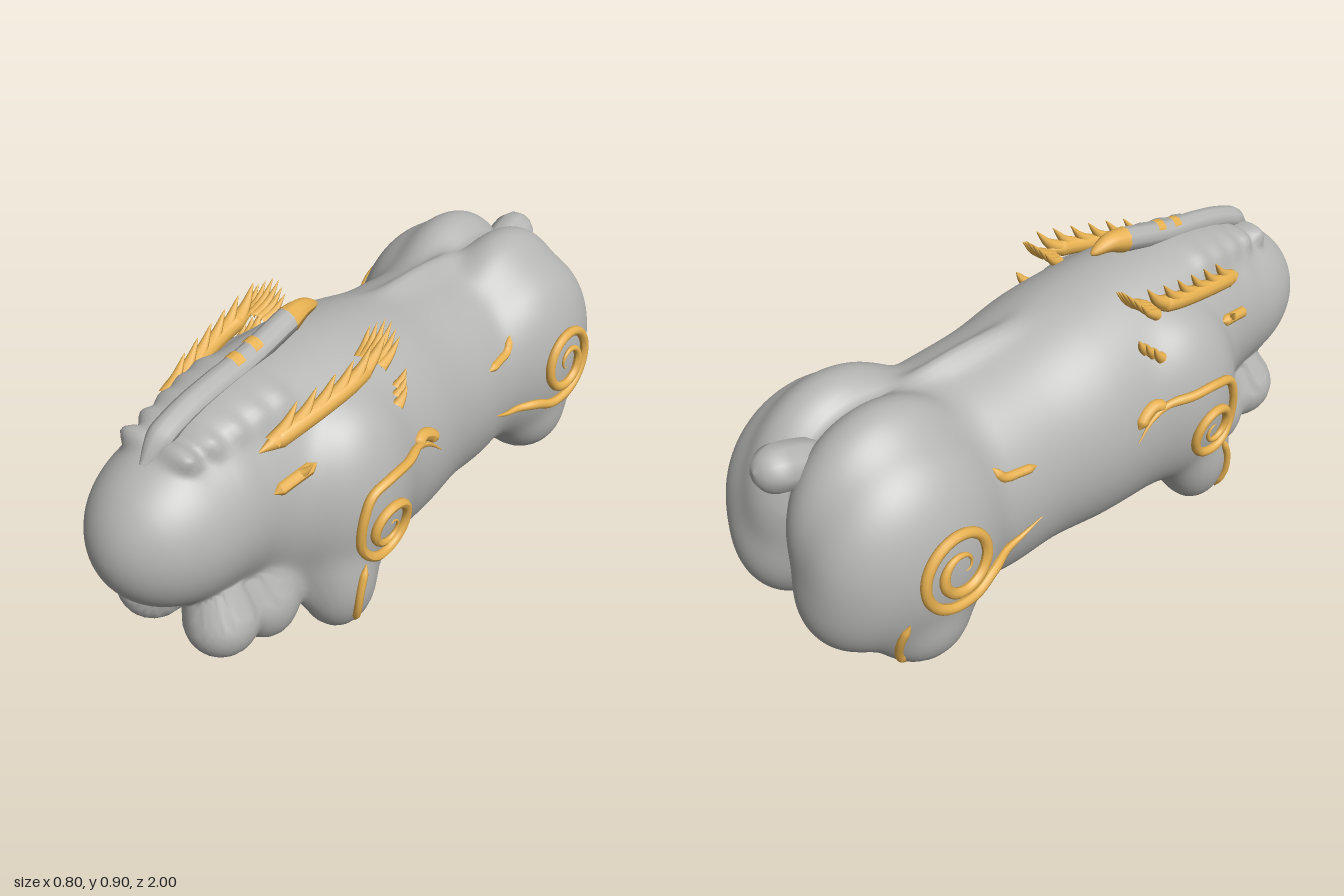
import * as THREE from 'three';

const stone = new THREE.MeshStandardMaterial({ color: 0xb4b4b2 });
stone.name = 'grey stone';
const gold = new THREE.MeshStandardMaterial({ color: 0xe6b050 });
gold.name = 'gold trim';
const V = (x, y, z) => new THREE.Vector3(x, y, z);

// Torso cross-sections: z, half width, bottom, top
const stations = [
  [0.85, 0.1, 0.4, 0.6], [0.7, 0.2, 0.27, 0.75], [0.6, 0.23, 0.2, 0.78], [0.5, 0.26, 0.1, 0.79],
  [0.4, 0.285, 0.04, 0.8], [0.2, 0.325, 0.012, 0.81], [0, 0.337, 0.022, 0.785], [-0.2, 0.316, 0.038, 0.738],
  [-0.4, 0.31, 0.03, 0.715], [-0.6, 0.27, 0.07, 0.7], [-0.8, 0.16, 0.2, 0.58], [-0.88, 0.05, 0.3, 0.45],
];
// Rounded masses blended into the torso: centre, radii (x is mirrored where not zero)
const masses = [
  [0, 0.5, 0.72, 0.218, 0.238, 0.28],         // snout
  [0, 0.715, 0.4, 0.165, 0.1, 0.32],          // crown
  [0, 0.235, 0.57, 0.15, 0.145, 0.15],        // chest
  [0, 0.685, -0.28, 0.036, 0.076, 0.3],       // spine
  [0.19, 0.42, 0.29, 0.184, 0.295, 0.235],    // shoulder
  [0.235, 0.18, 0.38, 0.118, 0.18, 0.115],    // foreleg
  [0.19, 0.395, -0.685, 0.19, 0.31, 0.295],   // haunch
  [0.1, 0.46, -0.68, 0.17, 0.318, 0.29],      // rump
  [0.215, 0.17, -0.69, 0.135, 0.145, 0.145],  // hind leg
  [0.15, 0.3, -0.85, 0.145, 0.17, 0.143],     // buttock
  [0.125, 0.21, 0.735, 0.104, 0.112, 0.105],  // front chin lobe
  [0.132, 0.185, 0.58, 0.108, 0.135, 0.1],    // rear chin lobe
];
// Stepped brow ridges
for (let i = 0; i < 5; i++) masses.push([0.07, 0.768 - i * 0.008, 0.48 + i * 0.076, 0.07 - i * 0.004, 0.024, 0.022]);

const ellipsoid = (x, y, z, a, b, c) => {
  const u = x / a, v = y / b, w = z / c;
  const k0 = Math.sqrt(u * u + v * v + w * w);
  const k1 = Math.sqrt((u / a) ** 2 + (v / b) ** 2 + (w / c) ** 2);
  return k1 < 1e-6 ? -Math.min(a, b, c) : (k0 * (k0 - 1)) / k1;
};

function torso(x, y, z) {
  const last = stations.length - 1;
  const zc = THREE.MathUtils.clamp(z, stations[last][0], stations[0][0]);
  let i = 0;
  while (i < last - 1 && zc < stations[i + 1][0]) i++;
  const at = (n) => stations[THREE.MathUtils.clamp(n, 0, last)];
  const t = (zc - at(i)[0]) / (at(i + 1)[0] - at(i)[0]);
  const [w, lo, hi] = [1, 2, 3].map((k) => {
    const [a, b, c, d] = [at(i - 1)[k], at(i)[k], at(i + 1)[k], at(i + 2)[k]];
    return b + 0.5 * t * (c - a + t * (2 * a - 5 * b + 4 * c - d + t * (3 * (b - c) + d - a)));
  });
  const d = ellipsoid(x, y - (lo + hi) / 2, 0, w, (hi - lo) / 2, 1);
  return Math.max(d, Math.abs(z - zc));
}

// Smooth union of torso and masses, symmetric in x
function field(p) {
  const x = Math.abs(p.x), k = 55;
  let sum = Math.exp(-k * torso(x, p.y, p.z));
  for (const [cx, cy, cz, a, b, c] of masses) {
    sum += Math.exp(-k * ellipsoid(x - cx, p.y - cy, p.z - cz, a, b, c));
  }
  return -Math.log(sum) / k;
}

// Outermost surface point along a ray
function cast(origin, dir, far = 0.65) {
  const p = V();
  const inside = (r) => field(p.copy(origin).addScaledVector(dir, r)) < 0;
  let r = far;
  while (r > 0 && !inside(r)) r -= 0.015;
  let lo = Math.max(r, 0), hi = lo + 0.015;
  for (let i = 0; i < 8; i++) {
    const m = (lo + hi) / 2;
    if (inside(m)) lo = m; else hi = m;
  }
  return V().copy(origin).addScaledVector(dir, lo);
}
const flank = (s, z, y, lift = 0) => cast(V(0, y, z), V(s, 0, 0)).add(V(s * lift, 0, 0));

// Body skin: rings along an inner axis, closed by a fan of rays at each end
function bodyGeometry() {
  const cap = 40, mid = 105, seg = 120, rows = cap * 2 + mid;
  const front = V(0, 0.5, 0.68), rear = V(0, 0.42, -0.66), pos = [], index = [];
  for (let i = 0; i <= rows; i++) {
    const t = THREE.MathUtils.clamp((i - cap) / mid, 0, 1);
    const o = V().lerpVectors(front, rear, t);
    let tilt = 0;
    if (i < cap) tilt = (1 - i / cap) * Math.PI / 2;
    if (i > cap + mid) tilt = -((i - cap - mid) / cap) * Math.PI / 2;
    for (let j = 0; j < seg; j++) {
      const a = (j / seg) * Math.PI * 2, c = Math.cos(tilt);
      pos.push(...cast(o, V(Math.cos(a) * c, Math.sin(a) * c, Math.sin(tilt))).toArray());
      if (i === rows) continue;
      const p = i * seg + j, q = i * seg + ((j + 1) % seg);
      index.push(p, p + seg, q, q, p + seg, q + seg);
    }
  }
  const g = new THREE.BufferGeometry();
  g.setAttribute('position', new THREE.Float32BufferAttribute(pos, 3));
  g.setIndex(index);
  g.computeVertexNormals();
  return g;
}

// Tube along points whose radius follows a function of 0..1
function taperedTube(points, radius, n = 40) {
  const curve = new THREE.CatmullRomCurve3(points);
  const g = new THREE.TubeGeometry(curve, n, 1, 10);
  const p = g.attributes.position, v = V();
  for (let i = 0; i < p.count; i++) {
    const t = Math.floor(i / 11) / n, c = curve.getPointAt(t);
    v.fromBufferAttribute(p, i).sub(c).multiplyScalar(Math.max(radius(t), 0.0005)).add(c);
    p.setXYZ(i, v.x, v.y, v.z);
  }
  g.computeVertexNormals();
  return g;
}
const leaf = (r) => (t) => r * Math.min(1, 6 * t + 0.1, 6 * (1 - t) + 0.1);

// Spiral in side-view coordinates [z, y], wound outward and ending at angle `end`
function spiral(cz, cy, r, turns, end) {
  return Array.from({ length: 33 }, (_, i) => {
    const t = i / 32, a = end + (1 - t) * turns * Math.PI * 2, d = 0.012 + (r - 0.012) * t ** 0.8;
    return [cz - d * Math.cos(a), cy + d * Math.sin(a)];
  });
}

export function createModel() {
  const root = new THREE.Group();
  const add = (name, geo, mat) => {
    const m = new THREE.Mesh(geo, mat);
    m.name = name;
    root.add(m);
  };
  const spike = (name, base, dir, len, r) => {
    const d = V(...dir).normalize(), tip = base.clone().addScaledVector(d, len);
    const bend = base.clone().addScaledVector(d, len * 0.5).add(V(0, -len * 0.1, 0));
    add(name, taperedTube([base, bend, tip], (t) => r * (1 - t) ** 0.8, 8), gold);
  };

  add('body', bodyGeometry(), stone);
  add('tail', taperedTube([V(0, 0.57, -0.76), V(0, 0.635, -0.86), V(0, 0.675, -0.995)],
    (t) => 0.068 * Math.sqrt(Math.max(0, 1 - Math.max(0, (t - 0.7) / 0.3) ** 2))), stone);

  // Central crest running back into a gold horn tip
  add('crest', taperedTube([V(0, 0.71, 0.84), V(0, 0.758, 0.78), V(0, 0.79, 0.69), V(0, 0.81, 0.58),
    V(0, 0.825, 0.45), V(0, 0.865, 0.27)], (t) => 0.037 * Math.min(1, t * 5 + 0.3)), stone);
  add('hornTip', taperedTube([V(0, 0.863, 0.28), V(0, 0.873, 0.22), V(0, 0.86, 0.15)],
    (t) => 0.039 * Math.sqrt(1 - t)), gold);
  for (const [z, y] of [[0.42, 0.842], [0.49, 0.829]]) {
    add('crestBand', taperedTube([V(0, y, z + 0.015), V(0, y + 0.005, z - 0.015)], () => 0.031, 4), gold);
  }

  for (const s of [-1, 1]) {
    // Mane band with a row of swept spikes and a fan at its end
    const mane = [[0.175, 0.61], [0.195, 0.5], [0.212, 0.38], [0.222, 0.27], [0.215, 0.17]]
      .map(([x, z], i) => V(s * x, 0.695 + i * 0.02, z));
    add('maneBand', taperedTube(mane, leaf(0.026)), gold);
    const maneCurve = new THREE.CatmullRomCurve3(mane);
    for (let i = 0; i < 6; i++) {
      const b = maneCurve.getPointAt(0.1 + i * 0.15);
      spike('maneSpike', b, [s * 0.08, 0.68, -0.72], 0.125, 0.024);
    }
    for (let i = 0; i < 6; i++) {
      const f = (i - 2.5) / 2.5;
      spike('maneFan', V(s * (0.203 + f * 0.035), 0.765 - Math.abs(f) * 0.01, 0.18),
        [s * f * 0.15 - s * 0.05, 0.65, -0.75], 0.13 - Math.abs(f) * 0.03, 0.018);
    }

    // Ear tuft and cheek streak
    for (let i = 0; i < 3; i++) {
      spike('earTuft', flank(s, 0.16 - i * 0.018, 0.64 + i * 0.014), [s * 0.1, 0.7, -0.5], 0.06, 0.018);
    }
    const onFlank = (pts, lift) => pts.map(([z, y]) => flank(s, z, y, lift));
    add('cheekStreak', taperedTube(onFlank([[0.61, 0.585], [0.56, 0.592], [0.51, 0.6], [0.47, 0.612]]), leaf(0.018)), gold);
    spike('cheekSpike', flank(s, 0.52, 0.6), [s * 0.6, 0.7, -0.3], 0.05, 0.016);

    // Raised scrolls and stripes on the flanks
    const trim = (name, pts, r, n, lift = 0.004) => add(name, taperedTube(onFlank(pts, lift), leaf(r), n), gold);
    trim('shoulderScroll', [...spiral(0.316, 0.364, 0.1, 1.75, Math.PI), [0.41, 0.44], [0.38, 0.5],
      [0.31, 0.522], [0.22, 0.52], [0.14, 0.515], [0.08, 0.49], [0.02, 0.44]], 0.0145, 180, 0.008);
    trim('shoulderLeaf', [[0.14, 0.505], [0.1, 0.522], [0.06, 0.508], [0.03, 0.475]], 0.02, 24, 0);
    trim('forelegStripe', [[0.39, 0.27], [0.415, 0.2], [0.42, 0.13], [0.405, 0.06]], 0.012, 30);
    trim('haunchScroll', [...spiral(-0.655, 0.41, 0.128, 1.9, -Math.PI / 2), [-0.6, 0.28], [-0.53, 0.305],
      [-0.46, 0.315], [-0.4, 0.325], [-0.33, 0.355]], 0.0155, 180, 0.008);
    trim('haunchHook', [[-0.32, 0.51], [-0.38, 0.515], [-0.43, 0.525], [-0.46, 0.565]], 0.014, 30, 0);
    trim('hindLegStripe', [[-0.81, 0.29], [-0.825, 0.22], [-0.815, 0.14], [-0.79, 0.09]], 0.012, 30);
  }
  return root;
}
